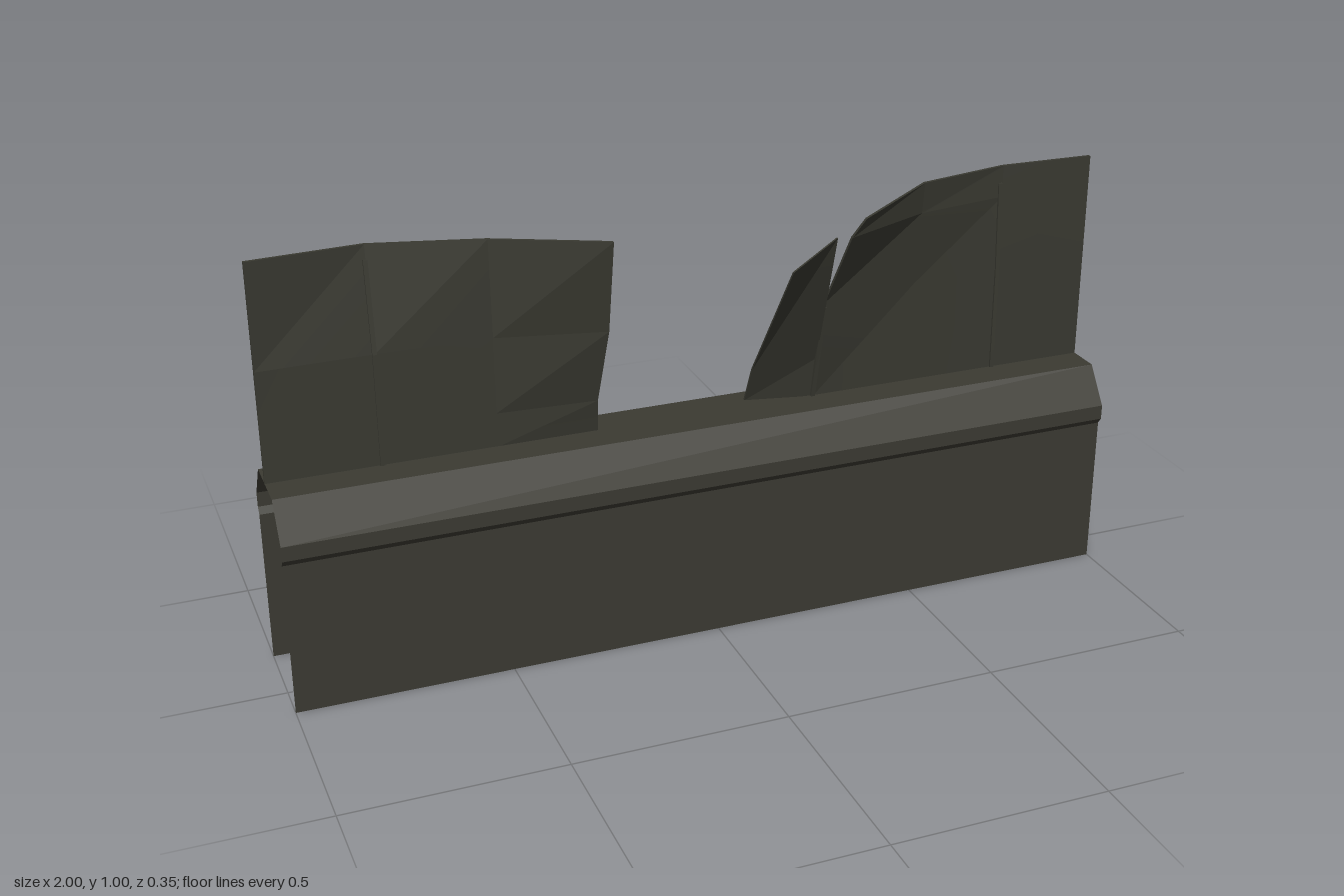
import * as THREE from 'three';
import { toCreasedNormals } from 'three/addons/utils/BufferGeometryUtils.js';

const concrete = new THREE.MeshStandardMaterial({ color: 0x3b3a32, side: THREE.DoubleSide });
concrete.name = 'dark base';
const metal = new THREE.MeshStandardMaterial({ color: 0x393931, side: THREE.DoubleSide });
metal.name = 'dark panel';

const CENTRE = -0.04;

// Adds the two triangles of a quad given counter-clockwise
function quad(out, a, b, c, d) {
  out.push(...a, ...b, ...c, ...a, ...c, ...d);
}

// Adds a grid of points (rows bottom to top, each left to right)
function grid(out, rows, flip) {
  for (let r = 0; r < rows.length - 1; r++) {
    for (let c = 0; c < rows[r].length - 1; c++) {
      const q = [rows[r][c], rows[r][c + 1], rows[r + 1][c + 1], rows[r + 1][c]];
      if (flip) quad(out, q[0], q[3], q[2], q[1]);
      else quad(out, ...q);
    }
  }
}

function makeMesh(name, positions, material, crease) {
  const geo = new THREE.BufferGeometry();
  geo.setAttribute('position', new THREE.Float32BufferAttribute(positions, 3));
  const mesh = new THREE.Mesh(toCreasedNormals(geo, crease), material);
  mesh.name = name;
  return mesh;
}

// Thin bent plate: front and back skins joined around the rim
function plate(name, rows, half = 0.004) {
  const shift = (dz) => rows.map((row) => row.map(([x, y, z]) => [x, y, z + dz]));
  const front = shift(half), back = shift(-half);
  const out = [];
  grid(out, front, false);
  grid(out, back, true);
  const rim = (g) => [
    ...g[0],
    ...g.slice(1, -1).map((row) => row[row.length - 1]),
    ...[...g[g.length - 1]].reverse(),
    ...g.slice(1, -1).reverse().map((row) => row[0]),
  ];
  const f = rim(front), b = rim(back);
  f.forEach((p, i) => {
    const j = (i + 1) % f.length;
    quad(out, p, b[i], b[j], f[j]);
  });
  return makeMesh(name, out, metal, 0.12);
}

// Narrow upright rib that follows a seam
function rib(name, path, width = 0.01) {
  const rows = path.map(([x, y, z]) => [[x - width / 2, y, z], [x + width / 2, y, z]]);
  return plate(name, rows, 0.009);
}

export function createModel() {
  const model = new THREE.Group();

  // Hollow base: open-ended shell with a chamfered coping
  const side = [[0.129, 0], [0.129, 0.365], [0.14, 0.38], [0.14, 0.415], [0.08, 0.5]];
  const profile = [...side, ...side.map(([z, y]) => [-z, y]).reverse()];
  const shell = [];
  grid(shell, profile.map(([z, y]) => [[-1, y, CENTRE + z], [1, y, CENTRE + z]]), false);
  model.add(makeMesh('base', shell, concrete, 0.1));

  // Panel on the right, its free edge bent forward at the top
  model.add(plate('rightPanel', [
    [[-1, 0.498, -0.045], [-0.74, 0.498, -0.045], [-0.48, 0.498, -0.045], [-0.245, 0.498, -0.045]],
    [[-1, 0.58, -0.045], [-0.74, 0.58, -0.046], [-0.48, 0.58, -0.045], [-0.248, 0.58, -0.03]],
    [[-1, 0.76, -0.045], [-0.74, 0.76, -0.05], [-0.48, 0.76, -0.045], [-0.232, 0.76, 0.012]],
    [[-1, 1.005, -0.045], [-0.74, 0.997, -0.085], [-0.48, 0.985, -0.053], [-0.23, 0.98, 0.05]],
  ]));

  // Panel on the left, torn and bent forward
  model.add(plate('leftPanel', [
    [[0.29, 0.498, -0.045], [0.54, 0.498, -0.045], [0.77, 0.498, -0.045], [1, 0.498, -0.045]],
    [[0.293, 0.75, 0.003], [0.54, 0.75, -0.035], [0.77, 0.75, -0.046], [1, 0.75, -0.045]],
    [[0.318, 0.93, 0.085], [0.54, 0.93, -0.012], [0.77, 0.93, -0.05], [1, 0.93, -0.045]],
    [[0.34, 0.98, 0.11], [0.54, 1.005, -0.003], [0.77, 1.005, -0.052], [1, 1.005, -0.045]],
  ]));

  // Loose strip torn from the left panel
  model.add(plate('tornStrip', [
    [[0.12, 0.51, -0.055], [0.29, 0.498, -0.045]],
    [[0.124, 0.6, -0.02], [0.291, 0.6, -0.03]],
    [[0.14, 0.9, 0.168], [0.278, 0.938, 0.095]],
  ], 0.003));

  // Seam ribs
  model.add(rib('rightSeam', [[-0.742, 0.5, -0.045], [-0.742, 0.76, -0.05], [-0.742, 0.965, -0.079]]));
  model.add(rib('leftSeam', [[0.765, 0.5, -0.045], [0.765, 0.75, -0.046], [0.762, 0.965, -0.05]]));
  model.add(rib('tornSeam', [[0.288, 0.5, -0.044], [0.291, 0.6, -0.028], [0.291, 0.74, 0.003]]));
  return model;
}
